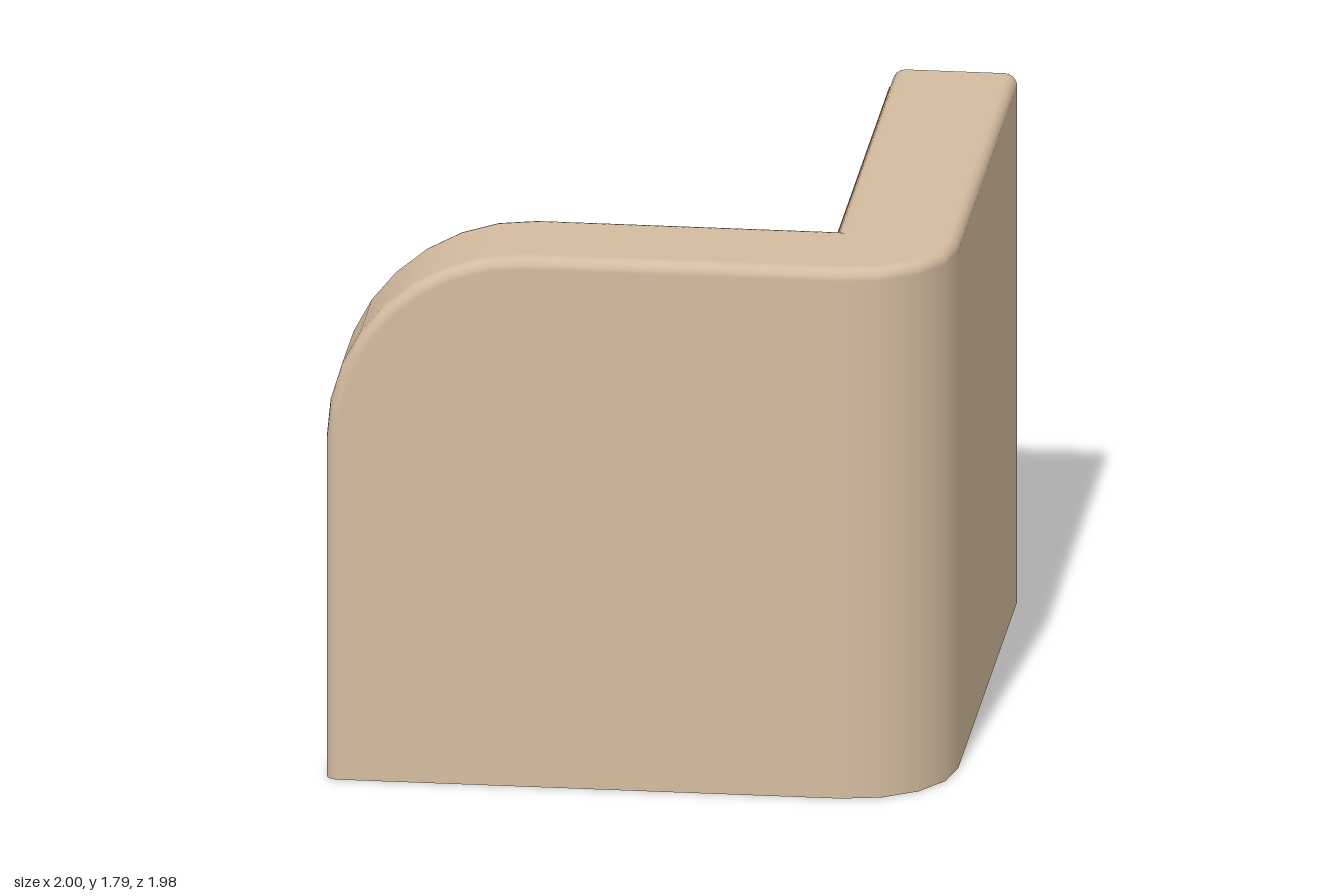
import * as THREE from 'three';

const H = 1.79, B = 0.04, ARCH = 0.64, BEND = 0.34; // height, edge rounding, arch and corner radii
const FRONT = 0.99, BACK = -0.99, INX = 0.6, INZ = 0.59;
const V = (x, y, z) => new THREE.Vector3(x, y, z);
const UP = V(0, 1, 0);

// Stations along the rim: outer and inner edge points, face normals, inner offset, rim normal
function stations() {
  const list = [];
  const add = (o, i, nO, nI, mI = nI, u = UP) => list.push({ o, i, nO, nI, mI, u });
  const zp = V(0, 0, 1), zn = V(0, 0, -1), xn = V(-1, 0, 0), mitre = V(-1, 0, -1);
  add(V(-1, 0, FRONT), V(-1, 0, INZ), zp, zn, zn, xn);
  for (let k = 0; k <= 8; k++) { // arch at the free end
    const a = (k / 8) * Math.PI / 2, u = V(-Math.cos(a), Math.sin(a), 0);
    const x = -1 + ARCH + ARCH * u.x, y = H - ARCH + ARCH * u.y;
    add(V(x, y, FRONT), V(x, y, INZ), zp, zn, zn, u);
  }
  for (let k = 0; k <= 4; k++) { // rounded outer corner, sharp inner corner
    const a = (k / 4) * Math.PI / 2, n = V(Math.sin(a), 0, Math.cos(a));
    const o = V(1 - BEND, H, FRONT - BEND).addScaledVector(n, BEND);
    add(o, V(INX, H, INZ), n, k < 2 ? zn : xn, mitre);
  }
  add(V(1, H, BACK), V(INX, H, BACK), V(1, 0, 0), xn);
  return list;
}

// Cross-section: up the outer face, over the rounded rim, down the inner face
function section(s) {
  const pts = [], N = 4;
  const edge = (p, m, n, k) => {
    const t = (k / N) * Math.PI / 2, c = Math.cos(t), q = Math.sin(t);
    pts.push({
      p: p.clone().addScaledVector(m, B * (c - 1)).addScaledVector(s.u, B * (q - 1)),
      n: n.clone().multiplyScalar(c).addScaledVector(s.u, q).normalize(),
    });
  };
  for (let k = 0; k <= N; k++) edge(s.o, s.nO, s.nO, k);
  for (let k = N; k >= 0; k--) edge(s.i, s.mI, s.nI, k);
  const foot = (e) => ({ p: V(e.p.x, 0, e.p.z), n: e.n.clone() });
  return [foot(pts[0]), ...pts, foot(pts[pts.length - 1])];
}

function wallGeometry() {
  const rings = stations().map(section), pos = [], nor = [];
  const tri = (a, b, c, n) => [a, b, c].forEach((v) => {
    pos.push(...v.p.toArray());
    nor.push(...(n || v.n).toArray());
  });
  const down = V(0, -1, 0), rear = V(0, 0, -1), last = rings[0].length - 1;
  for (let i = 0; i < rings.length - 1; i++) {
    const r = rings[i], s = rings[i + 1];
    for (let j = 0; j < last; j++) {
      tri(r[j], s[j], s[j + 1]);
      tri(r[j], s[j + 1], r[j + 1]);
    }
    // underside
    tri(r[0], s[last], s[0], down);
    tri(r[0], r[last], s[last], down);
  }
  // flat ends: foot of the free end and the rear cut
  const first = rings[0], end = rings[rings.length - 1];
  for (let j = 1; j < last; j++) {
    tri(first[0], first[j], first[j + 1], down);
    tri(end[0], end[j + 1], end[j], rear);
  }
  const g = new THREE.BufferGeometry();
  g.setAttribute('position', new THREE.Float32BufferAttribute(pos, 3));
  g.setAttribute('normal', new THREE.Float32BufferAttribute(nor, 3));
  return g;
}

export function createModel() {
  const group = new THREE.Group();
  group.name = 'cornerPartition';
  const tan = new THREE.MeshStandardMaterial({ color: 0xd4bca0 });
  tan.name = 'tan';
  const brown = new THREE.MeshStandardMaterial({ color: 0x874425 });
  brown.name = 'brown';
  const add = (name, geometry, material) => {
    const m = new THREE.Mesh(geometry, material);
    m.name = name;
    group.add(m);
    return m;
  };

  add('wall', wallGeometry(), tan);

  // Inner panel following the arch
  const T = 0.005, low = 0.25, high = H - B, left = -1 + B, r = ARCH - B;
  const shape = new THREE.Shape();
  shape.moveTo(left, low);
  shape.lineTo(0.54, low);
  shape.lineTo(0.54, high);
  shape.lineTo(left + r, high);
  shape.absarc(left + r, high - r, r, Math.PI / 2, Math.PI, false);
  const arched = new THREE.ExtrudeGeometry(shape, { depth: T, bevelEnabled: false, curveSegments: 8 });
  add('archedPanel', arched, brown).position.z = INZ - T;

  // Rectangular inner panel on the side wall
  const z0 = -0.93, z1 = 0.55;
  const side = add('sidePanel', new THREE.BoxGeometry(T, high - low, z1 - z0), brown);
  side.position.set(INX - T / 2, (high + low) / 2, (z0 + z1) / 2);

  return group;
}
